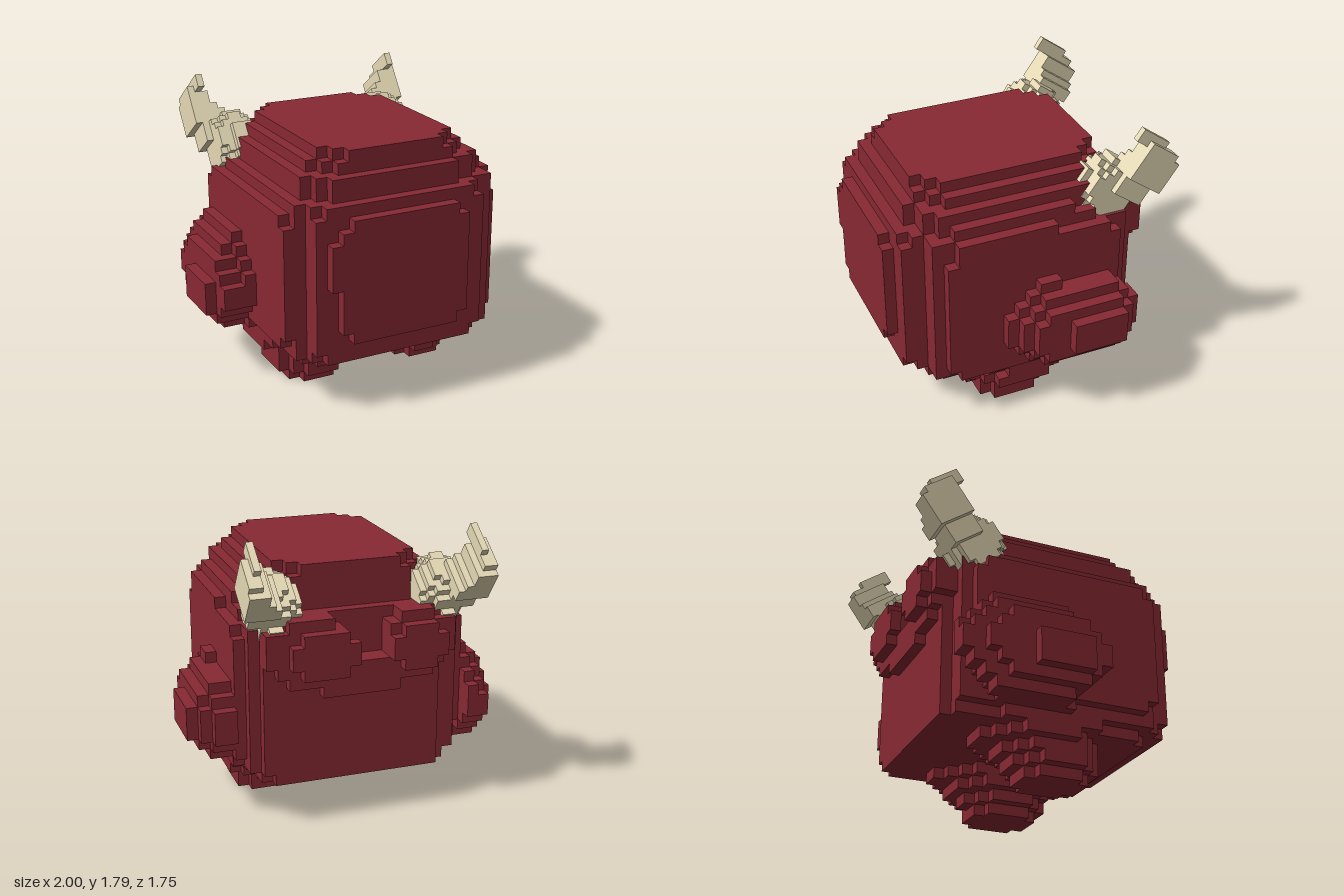
import * as THREE from 'three';

const CELL = 2 / 29;      // body block size
const HORN_CELL = 0.042;  // finer horn block size

// Outer skin of all blocks whose centres satisfy inside(x, y, z)
function blockGeometry(origin, counts, size, inside) {
  const filled = (c) =>
    c.every((v, a) => v >= 0 && v < counts[a]) &&
    inside(...c.map((v, a) => origin[a] + (v + 0.5) * size));
  const positions = [];
  const ring = [[0, 0], [1, 0], [1, 1], [0, 1]];
  for (let i = 0; i < counts[0]; i++)
    for (let j = 0; j < counts[1]; j++)
      for (let k = 0; k < counts[2]; k++) {
        const cell = [i, j, k];
        if (!filled(cell)) continue;
        for (let a = 0; a < 3; a++)
          for (const dir of [1, -1]) {
            const next = [...cell];
            next[a] += dir;
            if (filled(next)) continue;
            const quad = ring.map(([p, q]) => {
              const v = [...cell];
              v[a] += dir > 0 ? 1 : 0;
              v[(a + 1) % 3] += p;
              v[(a + 2) % 3] += q;
              return v.map((n, m) => origin[m] + n * size);
            });
            if (dir < 0) quad.reverse();
            for (const n of [0, 1, 2, 0, 2, 3]) positions.push(...quad[n]);
          }
      }
  const geometry = new THREE.BufferGeometry();
  geometry.setAttribute('position', new THREE.Float32BufferAttribute(positions, 3));
  geometry.computeVertexNormals();
  return geometry;
}

// A box is [x0, x1, y0, y1, z0, z1, axis, cut], snapped to the block grid.
// The optional cut trims the four corners seen along the given axis in steps.
function insideBox(point, box) {
  const depth = point.map((v, a) => Math.min(v - box[2 * a], box[2 * a + 1] - v));
  if (Math.min(...depth) < 0) return false;
  if (box.length === 6) return true;
  const a = 'xyz'.indexOf(box[6]);
  return depth[(a + 1) % 3] + depth[(a + 2) % 3] > box[7];
}

function blocksFromBoxes(boxes) {
  return blockGeometry([-1, 0, -0.78], [29, 23, 24], CELL, (...point) =>
    boxes.some((box) => insideBox(point, box)));
}

const PARTS = {
  body: [
    // sides, back wall and floor
    [-0.66, 0.65, 0.35, 1.24, -0.57, 0.67],
    [-0.66, 0.65, 1.24, 1.31, -0.37, 0.67],
    [-0.72, -0.65, 0.41, 1.24, -0.5, 0.67, 'x', 0.1],
    [0.65, 0.72, 0.35, 1.24, -0.5, 0.6, 'x', 0.1],
    [0.65, 0.72, 1.24, 1.31, -0.09, 0.53],
    [-0.52, 0.59, 0.35, 1.03, -0.64, -0.57],
    [-0.52, -0.24, 1.03, 1.31, -0.64, -0.37],
    [0.17, 0.52, 1.03, 1.31, -0.64, -0.37],
    [-0.52, 0.52, 1.24, 1.31, -0.57, -0.37],
    [-0.59, 0.59, 0.28, 0.35, -0.64, 0.67, 'y', 0.1],
    // stepped crown
    [-0.59, 0.65, 1.31, 1.38, -0.3, 0.6, 'y', 0.1],
    [-0.59, 0.59, 1.31, 1.45, -0.43, 0.67, 'y', 0.1],
    [-0.52, 0.52, 1.31, 1.52, -0.5, 0.67, 'y', 0.17],
    [-0.45, 0.45, 1.31, 1.59, -0.5, 0.67, 'y', 0.17],
    // stepped face
    [-0.52, 0.45, 1.31, 1.45, 0.67, 0.74, 'z', 0.1],
    [-0.59, 0.52, 0.35, 1.31, 0.67, 0.74],
    [-0.59, 0.52, 0.35, 1.31, 0.74, 0.81, 'z', 0.1],
    [-0.45, 0.38, 0.48, 1.24, 0.81, 0.88, 'z', 0.1],
    [-0.52, -0.45, 0.83, 1.1, 0.81, 0.88],
  ],
  backHump: [
    [-0.59, -0.31, 1.03, 1.24, -0.71, -0.57],
    [0.31, 0.59, 1.03, 1.24, -0.71, -0.57],
    [-0.52, -0.17, 0.9, 1.31, -0.71, -0.57, 'z', 0.1],
    [0.1, 0.52, 0.9, 1.31, -0.71, -0.57, 'z', 0.1],
    [-0.31, 0.31, 0.83, 1.03, -0.71, -0.64, 'z', 0.1],
    [-0.52, -0.17, 0.97, 1.24, -0.78, -0.71, 'z', 0.1],
    [0.03, 0.45, 0.97, 1.24, -0.78, -0.71, 'z', 0.1],
  ],
  rightArm: [
    [-0.79, -0.72, 0.35, 0.97, -0.64, 0.25, 'x', 0.24],
    [-0.86, -0.79, 0.35, 0.9, -0.64, 0.25, 'x', 0.24],
    [-0.93, -0.86, 0.41, 0.83, -0.5, 0.25, 'x', 0.17],
    [-1, -0.93, 0.48, 0.69, -0.23, 0.12],
    [-0.72, -0.66, 0.35, 0.41, -0.37, 0.12],
  ],
  leftArm: [
    [0.72, 0.79, 0.41, 0.9, -0.57, 0.25, 'x', 0.17],
    [0.72, 0.79, 0.9, 0.97, -0.09, 0.05],
    [0.79, 0.86, 0.41, 0.9, -0.57, 0.18, 'x', 0.17],
    [0.86, 0.93, 0.48, 0.83, -0.5, 0.12, 'x', 0.1],
    [0.93, 1, 0.55, 0.76, -0.44, -0.09],
  ],
  rightLeg: [
    [-0.66, -0.59, 0.28, 0.35, -0.3, 0.32],
    [-0.66, -0.03, 0.21, 0.28, -0.37, 0.39, 'y', 0.24],
    [-0.59, -0.1, 0.14, 0.21, -0.23, 0.39, 'y', 0.17],
    [-0.59, -0.1, 0.07, 0.14, -0.16, 0.39, 'y', 0.17],
    [-0.52, -0.17, 0, 0.07, -0.09, 0.32, 'y', 0.1],
  ],
  leftLeg: [
    [0.59, 0.65, 0.28, 0.35, -0.23, 0.32],
    [0.1, 0.65, 0.21, 0.28, -0.37, 0.39, 'y', 0.24],
    [0.1, 0.65, 0.14, 0.21, -0.23, 0.39, 'y', 0.17],
    [0.17, 0.59, 0.07, 0.14, -0.16, 0.39, 'y', 0.17],
    [0.24, 0.59, 0, 0.07, -0.09, 0.32, 'y', 0.1],
  ],
};

// Horn slices from the head outwards: [root radius, blade start, blade end]
const HORN_SLICES = [
  [0.13, 0, 0],
  [0.16, 0, 0],
  [0.19, 0, 0],
  [0.20, 0, 0],
  [0.20, 1.50, 1.60],
  [0.18, 1.45, 1.68],
  [0.15, 1.41, 1.76],
  [0, 1.41, 1.78],
  [0, 1.53, 1.79],
];

function insideHorn(x, y, z) {
  const n = Math.floor((x - 0.367) / HORN_CELL);
  const u = -z;
  const [radius, start, end] = HORN_SLICES[n];
  const root = Math.hypot(u + 0.4, y - 1.38) < radius;
  const blade = y > start && y < end && u > -0.45 && u < (y < 1.53 || y > 1.75 ? -0.22 : -0.18);
  const tip = n === 7 && u > -0.52 && u < -0.3 && y > 1.76;
  return root || blade || tip;
}

export function createModel() {
  const model = new THREE.Group();
  const hide = new THREE.MeshStandardMaterial({ color: 0x882933 });
  hide.name = 'dark red hide';
  const bone = new THREE.MeshStandardMaterial({ color: 0xe5d9b5 });
  bone.name = 'pale bone';

  for (const [name, boxes] of Object.entries(PARTS)) {
    const mesh = new THREE.Mesh(blocksFromBoxes(boxes), hide);
    mesh.name = name;
    model.add(mesh);
  }

  // Horns lean back; the pair is centred slightly off the body axis
  for (const side of [1, -1]) {
    const x0 = side > 0 ? 0.367 : -0.367 - 9 * HORN_CELL;
    const geometry = blockGeometry([x0, 1.2, 0.14], [9, 15, 12], HORN_CELL,
      (x, y, z) => insideHorn(side * x, y, z));
    const horn = new THREE.Mesh(geometry, bone);
    horn.name = side > 0 ? 'leftHorn' : 'rightHorn';
    horn.rotation.x = -0.625;
    horn.position.x = -0.025;
    model.add(horn);
  }
  return model;
}
